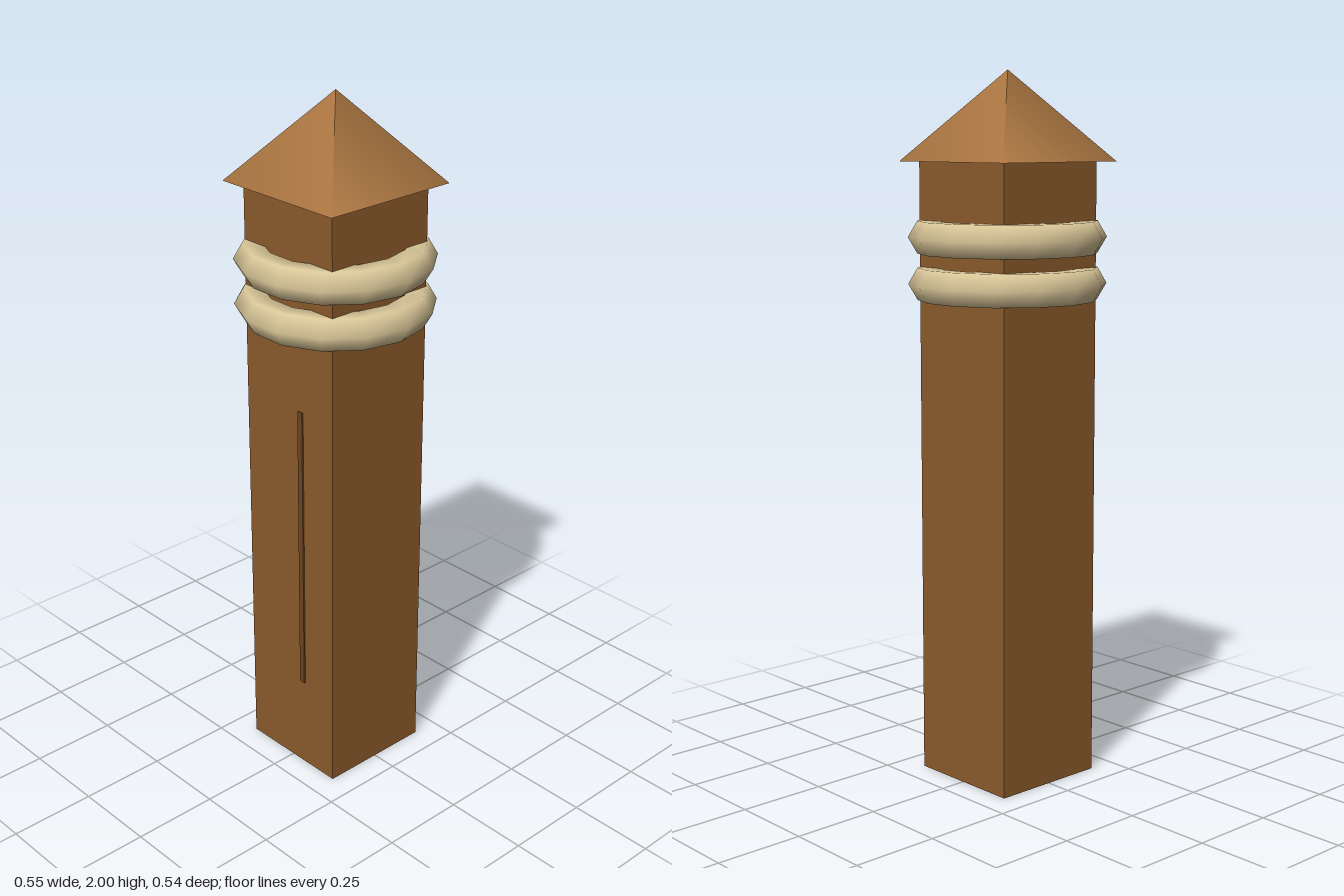
import * as THREE from 'three';

export function createModel() {
  const group = new THREE.Group();
  const wood = new THREE.MeshStandardMaterial({ color: 0x8b5a2b });
  const capWood = new THREE.MeshStandardMaterial({ color: 0xa87440 });
  const darkWood = new THREE.MeshStandardMaterial({ color: 0x6e4522 });
  const rope = new THREE.MeshStandardMaterial({ color: 0xd9c698 });

  function add(name, geometry, material, x, y, z) {
    const mesh = new THREE.Mesh(geometry, material);
    mesh.name = name;
    mesh.position.set(x, y, z);
    group.add(mesh);
    return mesh;
  }

  // Square post
  add('post', new THREE.BoxGeometry(0.346, 1.752, 0.346), wood, 0, 0.876, 0);

  // Four-sided pointed cap with overhanging eaves
  const cap = add('cap', new THREE.ConeGeometry(0.3, 0.248, 4), capWood, 0, 1.876, 0);
  cap.rotation.y = Math.PI / 4;

  // Two rope rings below the cap
  for (const [name, y] of [['upperRope', 1.545], ['lowerRope', 1.416]]) {
    const ring = add(name, new THREE.TorusGeometry(0.225, 0.052, 6, 14), rope, 0, y, 0);
    ring.rotation.x = Math.PI / 2;
  }

  // Thin wood crack on the front face
  add('crack', new THREE.BoxGeometry(0.018, 0.87, 0.01), darkWood, 0.047, 0.717, 0.173);

  return group;
}
